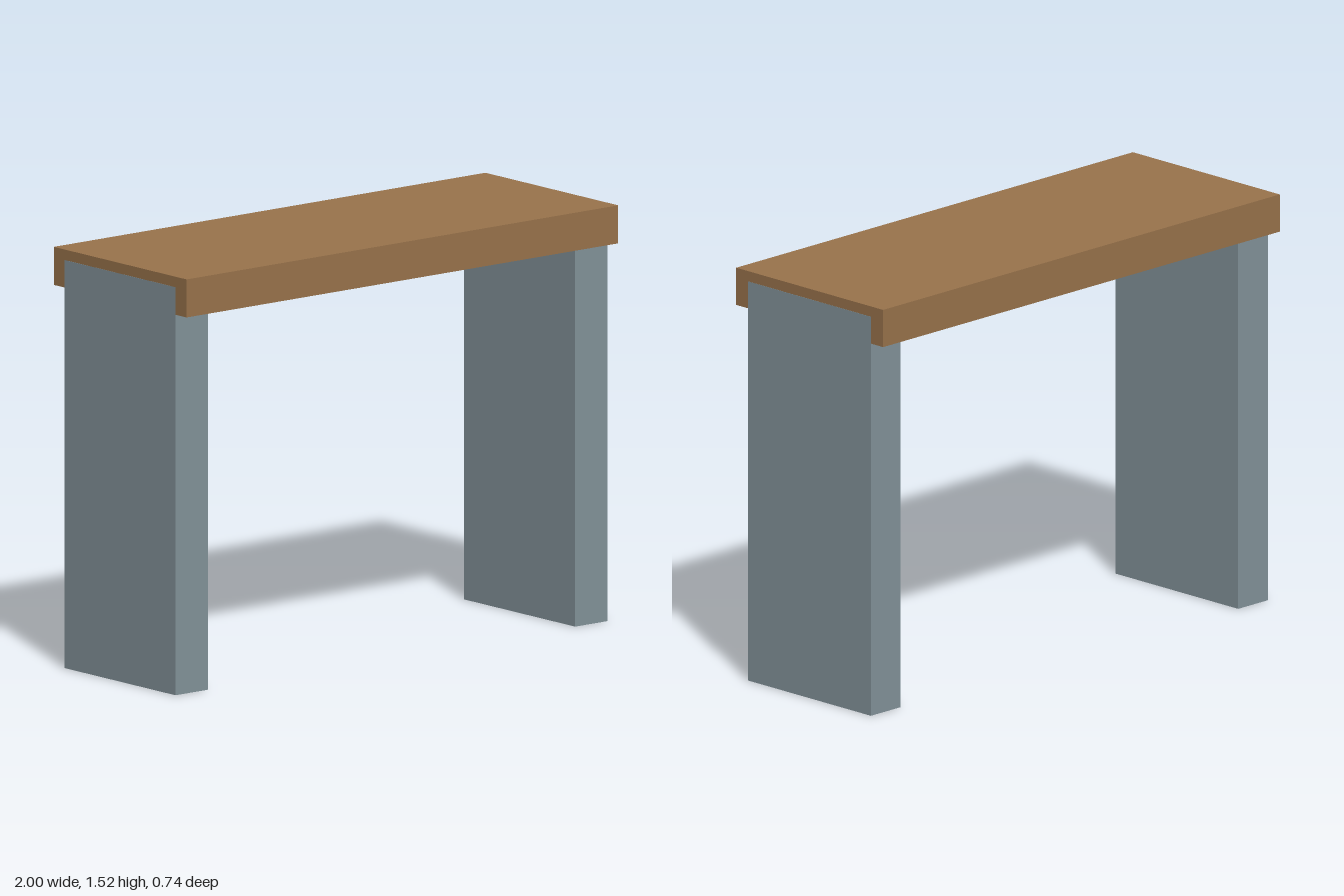
import * as THREE from 'three';

export function createModel() {
  const group = new THREE.Group();
  const wood = new THREE.MeshStandardMaterial({ color: 0x9a744c });
  const slate = new THREE.MeshStandardMaterial({ color: 0x84949b });
  const brass = new THREE.MeshStandardMaterial({ color: 0xb8a070 });

  const add = (name, geometry, material, x, y, z) => {
    const mesh = new THREE.Mesh(geometry, material);
    mesh.name = name;
    mesh.position.set(x, y, z);
    group.add(mesh);
    return mesh;
  };

  // Thick table top, a hair shorter than the legs' outer faces
  add('tableTop', new THREE.BoxGeometry(1.998, 0.138, 0.735), wood, 0, 1.449, 0);

  // Slab legs, let into the top
  for (const [name, side] of [['leftLeg', 1], ['rightLeg', -1]]) {
    add(name, new THREE.BoxGeometry(0.15, 1.48, 0.615), slate, side * 0.925, 0.74, 0);
  }

  // Thin rod between the legs, just under the top
  const rod = add('crossRod', new THREE.CylinderGeometry(0.007, 0.007, 1.72, 16), brass, 0, 1.368, 0);
  rod.rotation.z = Math.PI / 2;

  return group;
}
